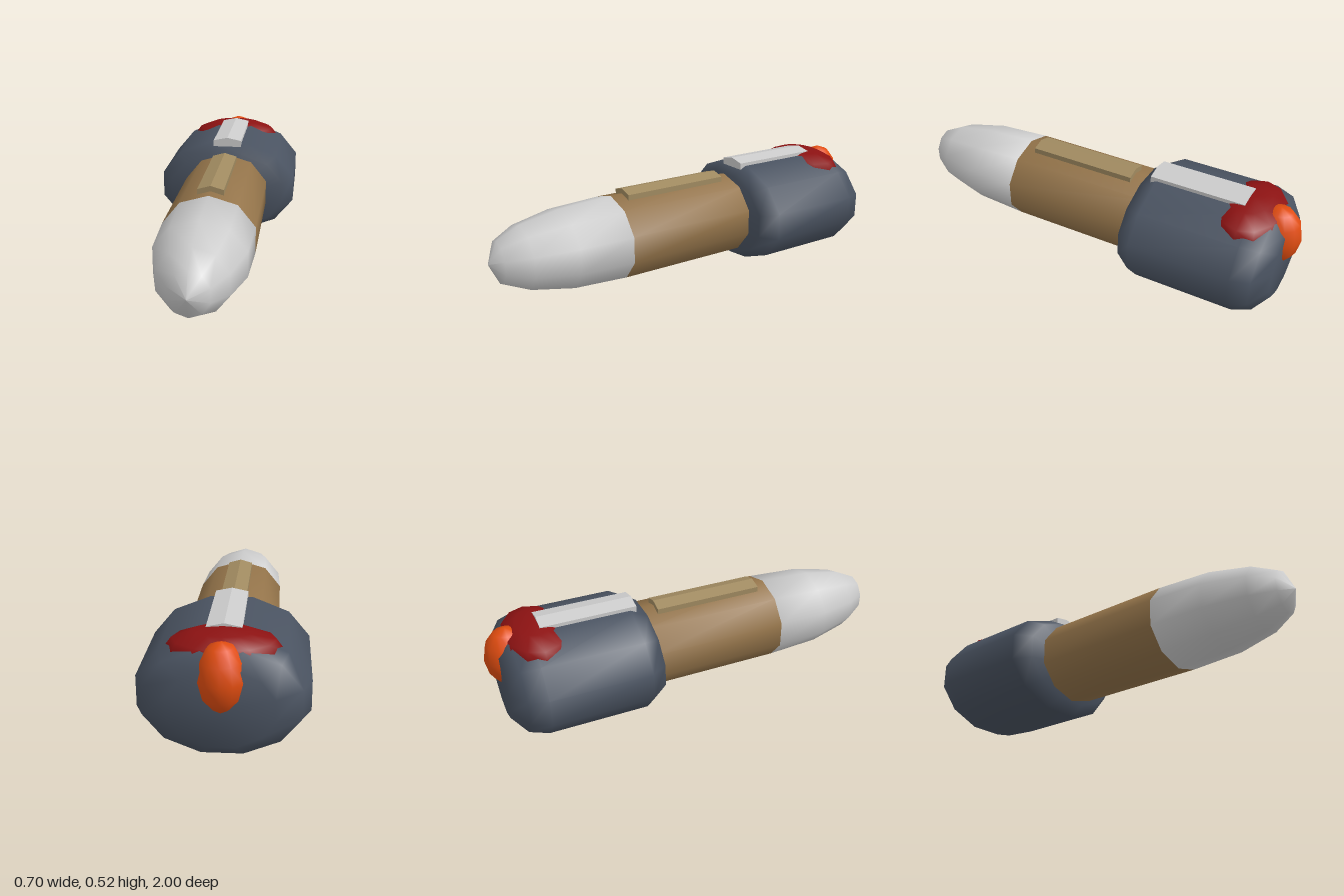
import * as THREE from 'three';

const AXIS_Y = 0.245;

// Closed, smooth-shaded loft along z; sections are [z, half width, half height] of an n-sided ring.
function loft(sections, n, phase) {
  const pos = [], idx = [];
  for (const [z, rx, ry] of sections) {
    for (let j = 0; j < n; j++) {
      const a = phase + (j / n) * Math.PI * 2;
      pos.push(rx * Math.cos(a), AXIS_Y + ry * Math.sin(a), z);
    }
  }
  const last = sections.length - 1, c0 = sections.length * n, c1 = c0 + 1;
  pos.push(0, AXIS_Y, sections[0][0], 0, AXIS_Y, sections[last][0]);
  for (let j = 0; j < n; j++) {
    const k = (j + 1) % n;
    for (let i = 0; i < last; i++) {
      const a = i * n + j, b = i * n + k;
      idx.push(a, b, a + n, b, b + n, a + n);
    }
    idx.push(c0, k, j, c1, last * n + j, last * n + k);
  }
  const g = new THREE.BufferGeometry();
  g.setAttribute('position', new THREE.Float32BufferAttribute(pos, 3));
  g.setIndex(idx);
  g.computeVertexNormals();
  return g;
}

// Ridge-topped bar running along z.
function bar(halfWidth, bottom, shoulder, peak, z0, z1) {
  const s = new THREE.Shape([
    new THREE.Vector2(-halfWidth, bottom), new THREE.Vector2(halfWidth, bottom),
    new THREE.Vector2(halfWidth, shoulder), new THREE.Vector2(0, peak),
    new THREE.Vector2(-halfWidth, shoulder),
  ]);
  return new THREE.ExtrudeGeometry(s, { depth: z1 - z0, bevelEnabled: false }).translate(0, 0, z0);
}

// Low-poly ellipsoid.
function blob(rx, ry, rz, x, y, z) {
  return new THREE.SphereGeometry(1, 12, 6).scale(rx, ry, rz).translate(x, y, z);
}

export function createModel() {
  const model = new THREE.Group();
  const add = (name, geometry, color) => {
    const mesh = new THREE.Mesh(geometry, new THREE.MeshStandardMaterial({ color }));
    mesh.name = name;
    model.add(mesh);
  };

  // Twelve-sided rear housing with rounded ends
  const RX = 0.362, RY = 0.252;
  add('rearHousing', loft([
    [-0.945, RX * 0.6, RY * 0.67],
    [-0.885, RX * 0.9, RY * 0.91],
    [-0.8, RX, RY],
    [-0.33, RX, RY],
    [-0.25, RX * 0.83, RY * 0.83],
  ], 12, Math.PI / 12), 0x4a5361);

  // Ten-sided barrel, buried in the housing at the back
  const BX = 0.221, BY = 0.2;
  add('barrel', loft([[-0.3, BX, BY], [0.4, BX, BY]], 10, Math.PI / 2), 0x94744a);

  // Blunt nose
  add('nose', loft([
    [0.4, BX, BY],
    [0.66, BX * 0.95, BY * 0.93],
    [0.85, BX * 0.71, BY * 0.75],
    [0.955, BX * 0.41, BY * 0.5],
    [1.0, 0.002, 0.002],
  ], 10, Math.PI / 2), 0xcccccc);

  // Bars along the top
  add('barrelBar', bar(0.06, 0.425, 0.453, 0.47, -0.19, 0.34), 0xa08a60);
  add('housingBar', bar(0.072, 0.47, 0.505, 0.52, -0.75, -0.3), 0xcccccc);

  // Coloured swellings on the top and back of the housing
  add('topPatch', blob(0.24, 0.09, 0.16, 0, 0.42, -0.765), 0x8c1212);
  add('rearPatch', blob(0.1, 0.145, 0.11, 0, 0.355, -0.89), 0xe04c10);

  return model;
}
